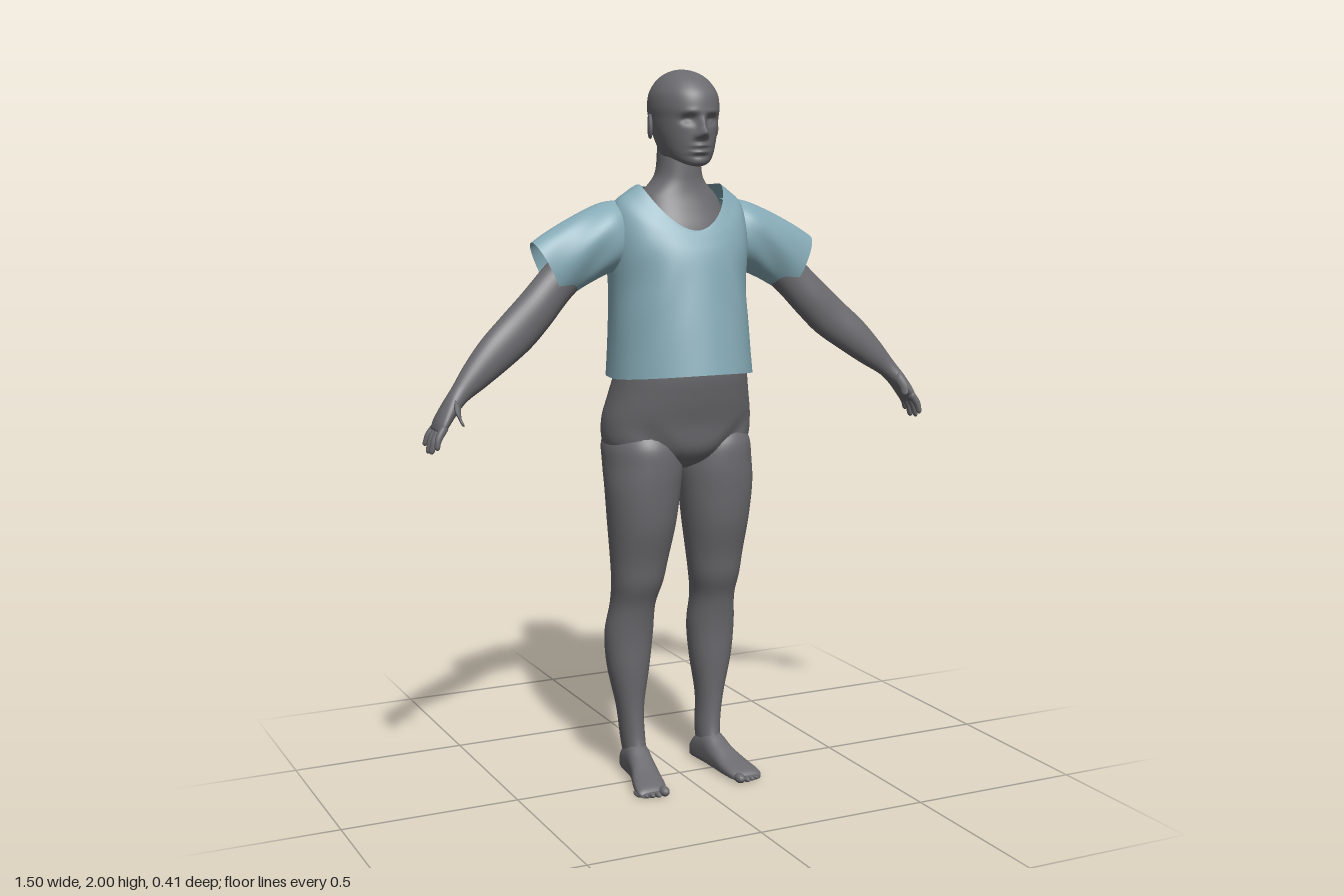
import * as THREE from 'three';
import { mergeGeometries } from 'three/addons/utils/BufferGeometryUtils.js';

const skin = new THREE.MeshStandardMaterial({ color: 0x6b6a6e });
skin.name = 'grey skin';
const cloth = new THREE.MeshStandardMaterial({ color: 0x86abb7, side: THREE.DoubleSide });
cloth.name = 'pale blue cloth';

// Smooth surface through rows of cross-section numbers; point(row, angle) gives a vertex.
function loft(rows, point, { seg = 40, steps = 5, caps = true, deform } = {}) {
  const pos = [], idx = [], last = rows.length - 1, count = last * steps;
  const at = i => rows[Math.max(0, Math.min(last, i))];
  for (let i = 0; i <= count; i++) {
    const k = Math.min(last - 1, Math.floor(i / steps)), t = i / steps - k;
    const row = rows[0].map((_, c) => {
      const [a, b, d, e] = [at(k - 1)[c], at(k)[c], at(k + 1)[c], at(k + 2)[c]];
      return b + 0.5 * t * (d - a + t * (2 * a - 5 * b + 4 * d - e + t * (3 * (b - d) + e - a)));
    });
    for (let j = 0; j < seg; j++) {
      const p = new THREE.Vector3(...point(row, (j / seg) * Math.PI * 2));
      if (deform) deform(p);
      pos.push(p.x, p.y, p.z);
    }
  }
  for (let i = 0; i < count; i++) for (let j = 0; j < seg; j++) {
    const n = (j + 1) % seg, a = i * seg + j, b = i * seg + n;
    idx.push(a, a + seg, b, b, a + seg, b + seg);
  }
  if (caps) for (const end of [0, count]) {
    const c = new THREE.Vector3(), s = end * seg, centre = pos.length / 3;
    for (let j = 0; j < seg; j++) c.add(new THREE.Vector3().fromArray(pos, (s + j) * 3));
    pos.push(...c.divideScalar(seg).toArray());
    for (let j = 0; j < seg; j++) {
      const n = (j + 1) % seg;
      idx.push(centre, s + (end ? n : j), s + (end ? j : n));
    }
  }
  const g = new THREE.BufferGeometry();
  g.setAttribute('position', new THREE.Float32BufferAttribute(pos, 3));
  g.setIndex(idx);
  g.computeVertexNormals();
  return g;
}

// Mirror across x = 0 and turn the faces back outward.
function mirrored(geo) {
  const g = geo.clone().scale(-1, 1, 1), ix = g.index.array;
  for (let i = 0; i < ix.length; i += 3) [ix[i], ix[i + 1]] = [ix[i + 1], ix[i]];
  g.computeVertexNormals();
  return g;
}

const power = (v, e) => Math.sign(v) * Math.abs(v) ** e;
const bell = (v, mid, width) => Math.exp(-(((v - mid) / width) ** 2));

// Upright ring: [y, centre x, half width, front z, back z, front lift, back lift]
const upright = (frontE = 1, backE = 1) => ([y, cx, rx, zf, zb, lf = 0, lb = 0], a) => {
  const c = Math.cos(a), s = Math.sin(a), e = s > 0 ? frontE : backE;
  return [cx + rx * power(c, e), y + (s > 0 ? lf : lb) * Math.abs(s) ** 1.5,
    (zf + zb) / 2 + ((zf - zb) / 2) * power(s, e)];
};
// Limb ring: [x, y, z, half thickness, half breadth in z]
const limb = ([x, y, z, r, rz], a) =>
  [x + 0.64 * r * Math.cos(a), y + 0.77 * r * Math.cos(a), z - rz * Math.sin(a)];
// Sleeve ring: [x, y, z, top offset x, top offset y, half depth]
const sleeveRing = ([x, y, z, ux, uy, rz], a) => {
  const fold = 1 + 0.05 * Math.sin(a * 5 + x * 30) * bell(x, 0.28, 0.08);
  return [x + ux * Math.cos(a), y + uy * Math.cos(a), z - rz * fold * Math.sin(a)];
};
// Foot ring: [z, centre x, half width, height], flat on the ground
const footRing = ([z, x, w, h], a) => {
  const s = Math.sin(a);
  return [x + w * power(Math.cos(a), 0.8), h / 2 - (h / 2) * power(s, s > 0 ? 0.5 : 0.9), z];
};

function ellipsoid(x, y, z, rx, ry, rz) {
  return new THREE.SphereGeometry(1, 16, 12).scale(rx, ry, rz).translate(x, y, z);
}

// Nose, brow, eye sockets, eyes, lips and chin pushed into the face
function face(p) {
  if (p.z < 0.03) return;
  const x = Math.abs(p.x), y = p.y;
  p.z += 0.027 * bell(x, 0, 0.013) * bell(y, 1.829, 0.013)
    + 0.015 * bell(x, 0, 0.01) * bell(y, 1.852, 0.022)
    + 0.007 * bell(x, 0.014, 0.008) * bell(y, 1.822, 0.008)
    - 0.016 * bell(x, 0.034, 0.018) * bell(y, 1.864, 0.012)
    + 0.007 * bell(x, 0.034, 0.01) * bell(y, 1.861, 0.006)
    + 0.004 * bell(x, 0.03, 0.025) * bell(y, 1.886, 0.008)
    + 0.008 * bell(x, 0, 0.022) * (bell(y, 1.796, 0.006) + bell(y, 1.78, 0.006))
    - 0.005 * bell(x, 0, 0.028) * bell(y, 1.788, 0.003)
    - 0.004 * bell(x, 0, 0.025) * bell(y, 1.769, 0.006)
    + 0.004 * bell(x, 0, 0.02) * bell(y, 1.752, 0.012);
}

// Cleft between the buttocks and the fold between thighs and belly
function hips(p) {
  if (p.z < 0) p.z += 0.035 * bell(p.x, 0, 0.02) * bell(p.y, 0.97, 0.07);
  else p.z -= 0.012 * bell(Math.abs(p.x), 0.1 + (p.y - 0.98) * 0.9, 0.03) * bell(p.y, 0.98, 0.05);
}

// Soft drapes and a shallow spine hollow in the shirt
function drape(p) {
  const side = Math.abs(p.x), depth = Math.sign(p.z + 0.02);
  p.z += depth * 0.004 * Math.sin(side * 55 + p.y * 28) * bell(side, 0.14, 0.06) * bell(p.y, 1.4, 0.12);
  if (p.z < 0) p.z += 0.012 * bell(p.x, 0, 0.04) * bell(p.y, 1.48, 0.1);
}

export function createModel() {
  const model = new THREE.Group();
  model.name = 'standing figure';
  const add = (name, geo, mat = skin) => {
    const m = new THREE.Mesh(geo, mat);
    m.name = name;
    model.add(m);
  };
  const addPair = (name, geo, mat) => {
    add('left' + name, geo, mat);
    add('right' + name, mirrored(geo), mat);
  };

  // Torso from crotch to neck
  add('torso', loft([
    [0.905, 0, 0.06, 0.03, -0.08], [0.93, 0, 0.15, 0.08, -0.135], [0.97, 0, 0.208, 0.112, -0.168],
    [1.04, 0, 0.217, 0.125, -0.175], [1.12, 0, 0.2, 0.145, -0.16], [1.2, 0, 0.185, 0.155, -0.14],
    [1.35, 0, 0.175, 0.14, -0.14], [1.5, 0, 0.165, 0.112, -0.135], [1.57, 0, 0.15, 0.1, -0.13],
    [1.62, 0, 0.13, 0.078, -0.115], [1.66, 0, 0.112, 0.062, -0.1], [1.695, 0, 0.078, 0.055, -0.086],
    [1.73, 0, 0.062, 0.053, -0.07], [1.8, 0, 0.06, 0.05, -0.058],
  ], upright(0.9, 0.9), { seg: 64, deform: hips }));

  // Head
  add('head', loft([
    [1.77, 0, 0.03, 0.06, -0.02, -0.015, 0], [1.767, 0, 0.05, 0.105, -0.045, -0.025, 0.01],
    [1.772, 0, 0.062, 0.122, -0.054, -0.026, 0.01], [1.787, 0, 0.07, 0.13, -0.06, -0.02, 0.008],
    [1.81, 0, 0.077, 0.135, -0.07, -0.006, 0], [1.84, 0, 0.084, 0.137, -0.087, 0, 0],
    [1.87, 0, 0.088, 0.139, -0.099, 0, 0], [1.9, 0, 0.091, 0.142, -0.104, 0, 0],
    [1.935, 0, 0.087, 0.133, -0.098, 0, 0], [1.965, 0, 0.071, 0.107, -0.078, 0, 0],
    [1.985, 0, 0.05, 0.075, -0.049, 0, 0], [1.996, 0, 0.026, 0.042, -0.02, 0, 0],
    [2.0, 0, 0.004, 0.015, 0.005, 0, 0],
  ], upright(0.95, 1), { seg: 112, steps: 7, deform: face }));

  // Ears
  addPair('Ear', mergeGeometries([
    ellipsoid(0, 0, 0, 0.007, 0.028, 0.016),
    new THREE.TorusGeometry(0.018, 0.005, 8, 24).rotateY(Math.PI / 2).scale(1, 1.5, 0.95),
  ]).rotateX(-0.2).rotateY(0.3).translate(0.094, 1.848, 0.01));

  // Legs
  addPair('Leg', loft([
    [0.03, 0.118, 0.026, 0.02, -0.105], [0.1, 0.12, 0.032, -0.012, -0.116], [0.2, 0.127, 0.038, -0.018, -0.118],
    [0.32, 0.131, 0.06, -0.008, -0.133], [0.42, 0.13, 0.069, 0.0, -0.135], [0.51, 0.126, 0.064, 0.018, -0.115],
    [0.58, 0.121, 0.073, 0.046, -0.1], [0.65, 0.118, 0.082, 0.062, -0.1], [0.75, 0.115, 0.095, 0.09, -0.108],
    [0.85, 0.113, 0.105, 0.103, -0.114], [0.92, 0.109, 0.108, 0.107, -0.142], [0.98, 0.112, 0.1, 0.102, -0.158],
    [1.03, 0.115, 0.07, 0.07, -0.13],
  ], upright(0.95, 0.95), { seg: 48 }));

  // Feet with toes
  const foot = [loft([
    [-0.122, 0.112, 0.012, 0.03], [-0.112, 0.113, 0.028, 0.055], [-0.08, 0.117, 0.035, 0.085],
    [-0.03, 0.121, 0.036, 0.1], [0.02, 0.127, 0.038, 0.075], [0.07, 0.137, 0.044, 0.05],
    [0.11, 0.145, 0.046, 0.036], [0.135, 0.15, 0.043, 0.026], [0.147, 0.152, 0.034, 0.016],
  ], footRing, { seg: 32 })];
  for (let i = 0; i < 5; i++) {
    const r = i ? 0.009 - i * 0.0005 : 0.014;
    foot.push(ellipsoid(0.119 + i * 0.0165 + (i ? 0.004 : 0), r, 0.148 - i * i * 0.0018, r, r, 0.021));
  }
  foot.forEach(g => g.deleteAttribute('uv'));
  addPair('Foot', mergeGeometries(foot));

  // Arms down to the palm
  addPair('Arm', loft([
    [0.16, 1.57, -0.04, 0.06, 0.055], [0.25, 1.523, -0.038, 0.06, 0.054], [0.35, 1.437, -0.025, 0.056, 0.046],
    [0.42, 1.365, -0.012, 0.058, 0.045], [0.48, 1.307, -0.004, 0.059, 0.043], [0.55, 1.25, 0.01, 0.053, 0.04],
    [0.61, 1.197, 0.022, 0.041, 0.034], [0.655, 1.155, 0.033, 0.028, 0.028], [0.688, 1.117, 0.041, 0.023, 0.038],
    [0.714, 1.08, 0.045, 0.019, 0.045], [0.727, 1.06, 0.046, 0.012, 0.04],
  ], limb, { seg: 32 }));

  // Fingers and thumb
  const digit = (a, b, r) => {
    const rows = [0, 0.5, 0.85, 0.97, 1].map((t, i) =>
      [...a.map((v, k) => v + (b[k] - v) * t), ...Array(2).fill(r * [1.05, 1, 0.85, 0.5, 0.1][i])]);
    rows[1][0] += 0.005;
    return loft(rows, limb, { seg: 12, steps: 3 });
  };
  const hand = [0, 1, 2, 3].map(i => digit(
    [0.712, 1.078, 0.013 + i * 0.022],
    [0.748 - (i === 3 ? 0.006 : 0), [1.02, 1.004, 1.006, 1.02][i], 0.002 + i * 0.029], i ? 0.011 : 0.0095));
  hand.push(digit([0.672, 1.135, 0.06], [0.677, 1.083, 0.113], 0.013));
  addPair('Fingers', mergeGeometries(hand));

  // Shirt body with scooped neckline
  add('shirtBody', loft([
    [1.165, 0, 0.204, 0.208, -0.2, 0.022, 0.005], [1.3, 0, 0.196, 0.188, -0.192, 0, 0],
    [1.42, 0, 0.195, 0.164, -0.184, 0, 0], [1.55, 0, 0.203, 0.145, -0.168, -0.05, 0],
    [1.638, 0, 0.188, 0.127, -0.146, -0.095, -0.02], [1.675, 0, 0.148, 0.117, -0.122, -0.112, -0.012],
    [1.692, 0, 0.122, 0.112, -0.106, -0.122, -0.01],
  ], upright(1.05, 0.9), { seg: 96, caps: false, deform: drape }), cloth);

  // Wide sleeves
  addPair('Sleeve', loft([
    [0.145, 1.55, -0.045, 0, 0.1, 0.075], [0.205, 1.548, -0.042, 0.01, 0.096, 0.092],
    [0.28, 1.518, -0.036, 0.02, 0.092, 0.078], [0.345, 1.484, -0.032, 0.035, 0.085, 0.064],
    [0.385, 1.46, -0.028, 0.04, 0.081, 0.056],
  ], sleeveRing, { seg: 48, caps: false }), cloth);

  return model;
}
